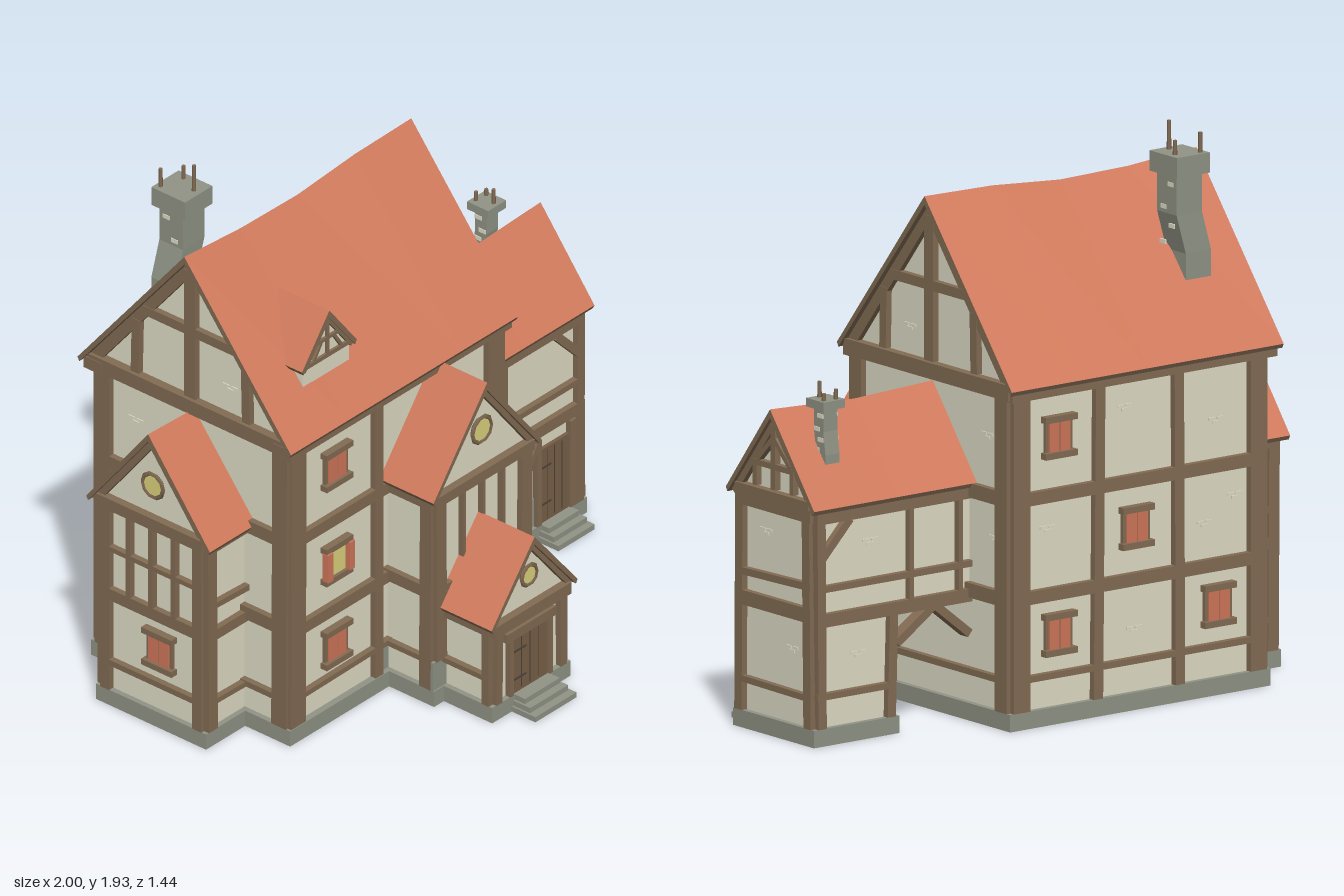
import * as THREE from 'three';

const mat = (name, color) => Object.assign(new THREE.MeshStandardMaterial({ color }), { name });
const M = {
  tile: mat('roof tile', 0xd17a5c), plaster: mat('plaster', 0xdfdcc5), wood: mat('timber', 0x826b53),
  stone: mat('stone', 0x909385), glass: mat('lit glass', 0xdbd27d), shutter: mat('shutter', 0xcf765a),
  door: mat('door wood', 0x776048), iron: mat('iron', 0x4c4138),
};

function add(parent, name, geo, material, x = 0, y = 0, z = 0) {
  const m = new THREE.Mesh(geo, material);
  m.name = name;
  m.position.set(x, y, z);
  parent.add(m);
  return m;
}
// Box from min and max corners
function block(parent, name, material, x0, x1, y0, y1, z0, z1) {
  return add(parent, name, new THREE.BoxGeometry(x1 - x0, y1 - y0, z1 - z0), material,
    (x0 + x1) / 2, (y0 + y1) / 2, (z0 + z1) / 2);
}

// Gable roof lofted along z; the edges and underside are timber
function roofGeometry(hw, eave, ridges, z0, z1, t = 0.03) {
  const rings = ridges.map((r, i) => {
    const z = z0 + (z1 - z0) * i / (ridges.length - 1);
    return [[hw, eave], [0, r], [-hw, eave], [-hw + 0.008, eave - t * 0.5], [0, r - t], [hw - 0.008, eave - t * 0.5]]
      .map(([x, y]) => [x, y, z]);
  });
  const pos = [[], []];
  const quad = (k, a, b, c, d) => pos[k].push(...a, ...b, ...c, ...a, ...c, ...d);
  for (let i = 0; i + 1 < rings.length; i++) {
    const [a, b] = [rings[i], rings[i + 1]];
    for (let j = 0; j < 6; j++) {
      const k = (j + 1) % 6;
      quad(j < 2 ? 0 : 1, a[j], a[k], b[k], b[j]);
    }
  }
  const s = rings[0], e = rings[rings.length - 1];
  quad(1, e[0], e[1], e[4], e[5]); quad(1, e[1], e[2], e[3], e[4]);
  quad(1, s[5], s[4], s[1], s[0]); quad(1, s[4], s[3], s[2], s[1]);
  const g = new THREE.BufferGeometry();
  g.setAttribute('position', new THREE.Float32BufferAttribute([...pos[0], ...pos[1]], 3));
  g.addGroup(0, pos[0].length / 3, 0);
  g.addGroup(pos[0].length / 3, pos[1].length / 3, 1);
  g.computeVertexNormals();
  return g;
}

// Gabled volume with its ridge along local z; a hollow one is open below
function house(root, name, o) {
  const g = new THREE.Group();
  g.name = name;
  g.position.set(o.x || 0, 0, o.z || 0);
  g.rotation.y = o.turn || 0;
  root.add(g);
  const top = o.ridges[0], slope = (top - o.eave) / o.hw, peak = top - 0.045, { w, y0, b0, b1 } = o;
  const side = peak - slope * w, t = 0.03;
  const gable = [[-w, y0], [w, y0], [w, side], [0, peak], [-w, side]];
  const shell = [[-w, y0], [t - w, y0], [t - w, side - t], [0, peak - 2 * t], [w - t, side - t], [w - t, y0], ...gable.slice(1)];
  const walls = (points, from, to) => add(g, name + 'Walls', new THREE.ExtrudeGeometry(
    new THREE.Shape(points.map(p => new THREE.Vector2(...p))), { depth: to - from, bevelEnabled: false }), M.plaster, 0, 0, from);
  if (o.hollow) {
    walls(shell, b0 + t, b1 - t);
    walls(gable, b0, b0 + t);
    walls(gable, b1 - t, b1);
  } else walls(gable, b0, b1);
  add(g, name + 'Roof', roofGeometry(o.hw, o.eave, o.ridges, o.r0, o.r1), [M.tile, M.wood]);
}

// Wall frame: local x runs along the wall, local z points outwards
function facade(root, name, x, z, turn = 0) {
  const g = new THREE.Group();
  g.name = name;
  g.position.set(x, 0, z);
  g.rotation.y = turn;
  root.add(g);
  return g;
}
const RIGHT = Math.PI / 2, BACK = Math.PI, LEFT = -Math.PI / 2;

// Timbers given as [u1, y1, u2, y2, width]
function bars(f, list, flip = 1, depth = 0.045) {
  for (const [u1, y1, u2, y2, w] of list) {
    const du = (u2 - u1) * flip, dy = y2 - y1;
    const m = add(f, 'timber', new THREE.BoxGeometry(w, Math.hypot(du, dy), depth), M.wood,
      flip * (u1 + u2) / 2, (y1 + y2) / 2, 0);
    m.rotation.z = Math.atan2(-du, dy);
  }
}
// Pair of gable timbers tucked under the roof slopes
function rafters(f, c, hw, eave, ridge, w, depth = 0.04) {
  const slope = (ridge - eave) / hw, y = ridge - 0.026 - w / 2 * Math.hypot(1, slope), e = hw - w / 2 - 0.012;
  bars(f, [-1, 1].map(s => [c + s * e, y - slope * e, c, y, w]), 1, depth);
}
function shutterWindow(f, u, y, w = 0.095, h = 0.125, open = false) {
  block(f, 'windowFrame', M.wood, u - w / 2 - 0.01, u + w / 2 + 0.01, y - h / 2, y + h / 2, -0.01, 0.012);
  for (const s of [-1, 1])
    block(f, s < 0 ? 'windowSill' : 'windowLintel', M.wood, u - w / 2 - 0.02, u + w / 2 + 0.02,
      y + s * h / 2 - 0.011, y + s * h / 2 + 0.011, -0.01, 0.028);
  if (open) block(f, 'windowPane', M.glass, u - w / 2 + 0.006, u + w / 2 - 0.006, y - h / 2 + 0.01, y + h / 2 - 0.01, 0.01, 0.016);
  for (const s of [-1, 1]) {
    const c = u + s * (open ? w / 2 + 0.008 : w / 4), k = open ? 0.013 : w / 4 - 0.003;
    block(f, 'shutter', M.shutter, c - k, c + k, y - h / 2 + 0.008, y + h / 2 - 0.008, 0.01, open ? 0.035 : 0.018);
  }
}
function roundWindow(f, u, y, r) {
  add(f, 'roundPane', new THREE.CircleGeometry(r, 10), M.glass, u, y, 0.012);
  add(f, 'roundFrame', new THREE.TorusGeometry(r, 0.009, 4, 10), M.wood, u, y, 0.01);
}
// Raised bricks showing through the plaster
function bricks(f, spots) {
  for (const [u, y] of spots)
    for (const [du, dy] of [[0, 0], [0.036, 0], [0.018, -0.013]])
      block(f, 'brick', M.plaster, u + du - 0.014, u + du + 0.014, y + dy - 0.005, y + dy + 0.005, -0.005, 0.004);
}
function steps(root, x0, x1, z0, z1) {
  for (let i = 0; i < 3; i++)
    block(root, 'step', M.stone, x0 + i * 0.008, x1 - i * 0.008, 0, 0.02 * (i + 1), z0, z1 - i * (z1 - z0) / 4);
}
function plankDoor(f, u, w, h) {
  block(f, 'door', M.door, u - w / 2, u + w / 2, 0.06, 0.06 + h, -0.01, 0.014);
  for (let i = 1; i < 4; i++)
    block(f, 'plankGap', M.iron, u - w / 2 + i * w / 4 - 0.001, u - w / 2 + i * w / 4 + 0.001, 0.07, 0.05 + h, 0.01, 0.0155);
  for (const k of [0.25, 0.75])
    block(f, 'hinge', M.iron, u - w / 2, u - w / 8, 0.057 + h * k, 0.063 + h * k, 0.01, 0.018);
}
// Flared shaft, cap and pots given as [x, z, top]
function chimney(root, name, x, z, w, d, y0, y1, y2, flareX, flareZ, pots) {
  const g = new THREE.Group();
  g.name = name;
  root.add(g);
  const geo = new THREE.BoxGeometry(w, y1 - y0, d, 1, 3, 1).toNonIndexed(), p = geo.attributes.position;
  for (let i = 0; i < p.count; i++) if (p.getY(i) < -0.01 - (y1 - y0) * 0.1) {
    p.setX(i, p.getX(i) + flareX);
    p.setZ(i, p.getZ(i) + flareZ);
  }
  geo.computeVertexNormals();
  add(g, 'chimneyShaft', geo, M.stone, x, (y0 + y1) / 2, z);
  block(g, 'chimneyCap', M.stone, x - w / 2 - 0.016, x + w / 2 + 0.016, y1, y2, z - d / 2 - 0.022, z + d / 2 + 0.022);
  for (const [px, pz, top] of pots)
    add(g, 'chimneyPot', new THREE.CylinderGeometry(0.007, 0.008, top - y2 + 0.01, 6), M.wood, px, (top + y2 - 0.01) / 2, pz);
  for (const [k, h] of [[-0.2, 0.95], [0.15, 0.75], [-0.25, 0.6], [0.2, 0.45]])
    for (const s of [-1, 1])
      block(g, 'paleBrick', M.plaster, x + s * w / 2 - 0.003, x + s * w / 2 + 0.003, y0 + (y1 - y0) * h - 0.02,
        y0 + (y1 - y0) * h - 0.005, z + k * d - 0.015, z + k * d + 0.015);
}

export function createModel() {
  const root = new THREE.Group();
  root.name = 'timberHouse';

  // Volumes and roofs
  house(root, 'mainHouse', { z: -0.245, turn: RIGHT, hollow: true, w: 0.42, y0: 0.04, b0: -0.765, b1: 0.305, hw: 0.475, eave: 1.18,
    ridges: [1.77, 1.748, 1.743, 1.765, 1.77], r0: -0.815, r1: 0.345 });
  house(root, 'leftWing', { z: -0.245, turn: RIGHT, w: 0.225, y0: 0.04, b0: -0.965, b1: -0.74, hw: 0.275, eave: 0.8,
    ridges: [1.155, 1.145], r0: -1, r1: -0.74 });
  house(root, 'rightWing', { z: -0.24, turn: RIGHT, w: 0.2, y0: 0.42, b0: 0.28, b1: 0.965, hw: 0.24, eave: 0.82,
    ridges: [1.13, 1.115, 1.13], r0: 0.28, r1: 1 });
  house(root, 'bay', { x: -0.025, w: 0.235, y0: 0.04, b0: 0.15, b1: 0.38, hw: 0.275, eave: 0.82, ridges: [1.17, 1.17], r0: 0.15, r1: 0.415 });
  house(root, 'porch', { x: -0.03, w: 0.18, y0: 0.04, b0: 0.3, b1: 0.595, hw: 0.22, eave: 0.38, ridges: [0.65, 0.65], r0: 0.35, r1: 0.63 });
  house(root, 'dormer', { x: -0.51, w: 0.118, y0: 1.315, b0: -0.1, b1: 0.12, hw: 0.14, eave: 1.39, ridges: [1.57, 1.57], r0: -0.1, r1: 0.135 });
  block(root, 'gateRoom', M.plaster, 0.64, 0.965, 0.04, 0.43, -0.44, -0.04);

  // Stone footings
  const rect = (S, x0, x1, y0, y1) => new S([[x0, y0], [x1, y0], [x1, y1], [x0, y1]].map(p => new THREE.Vector2(...p)));
  const ring = rect(THREE.Shape, -0.785, 0.325, -0.2, 0.685);
  ring.holes.push(rect(THREE.Path, -0.71, 0.25, -0.12, 0.61));
  add(root, 'mainFooting', new THREE.ExtrudeGeometry(ring, { depth: 0.06, bevelEnabled: false }), M.stone).rotation.x = -Math.PI / 2;
  block(root, 'leftFooting', M.stone, -0.985, -0.75, 0, 0.06, -0.49, 0);
  block(root, 'rightFooting', M.stone, 0.62, 0.985, 0, 0.06, -0.46, -0.02);
  block(root, 'bayFooting', M.stone, -0.28, 0.23, 0, 0.06, 0.15, 0.4);
  block(root, 'porchFooting', M.stone, -0.23, 0.17, 0, 0.06, 0.38, 0.615);
  block(root, 'bayStonework', M.stone, -0.28, 0.23, 0.05, 0.17, 0.37, 0.395);
  block(root, 'gateStonework', M.stone, 0.645, 0.76, 0.05, 0.17, -0.05, -0.034);
  block(root, 'frontStonework', M.stone, -0.31, 0.28, 0.05, 0.17, 0.17, 0.181);
  steps(root, -0.13, 0.08, 0.6, 0.72);
  steps(root, 0.735, 0.92, -0.04, 0.07);

  // Main front and back
  const front = facade(root, 'mainFront', 0, 0.175);
  bars(front, [[-0.74, 0.06, -0.735, 1.16, 0.075], [-0.325, 0.06, -0.325, 1.15, 0.04], [0.275, 0.06, 0.272, 1.16, 0.08],
    [-0.765, 0.785, 0.3, 0.785, 0.045], [-0.765, 0.432, 0.3, 0.432, 0.045], [-0.765, 0.165, -0.25, 0.172, 0.02]]);
  bars(front, [[-0.8, 1.16, 0.33, 1.16, 0.045]], 1, 0.08);
  shutterWindow(front, -0.533, 0.99);
  shutterWindow(front, -0.533, 0.617, 0.095, 0.125, true);
  shutterWindow(front, -0.533, 0.285);
  const back = facade(root, 'mainBack', 0, -0.665, BACK);
  bars(back, [[-0.275, 0.06, -0.275, 1.16, 0.07], [0.05, 0.06, 0.06, 1.16, 0.04], [0.4, 0.06, 0.395, 1.16, 0.04], [0.735, 0.06, 0.735, 1.16, 0.07],
    [-0.3, 0.79, 0.765, 0.79, 0.045], [-0.3, 0.45, 0.765, 0.45, 0.045], [-0.3, 0.17, 0.765, 0.17, 0.022]]);
  bars(back, [[-0.33, 1.16, 0.8, 1.16, 0.045]], 1, 0.08);
  for (const [u, y] of [[-0.11, 0.99], [0.22, 0.63], [-0.11, 0.31], [0.57, 0.31]]) shutterWindow(back, u, y);
  bricks(back, [[0.16, 1.05], [0.55, 0.95], [-0.17, 0.68], [0.5, 0.6], [0.2, 0.28], [0.63, 0.68]]);

  // Main side walls and gables
  for (const [name, x, turn, flip] of [['mainRight', 0.305, RIGHT, 1], ['mainLeft', -0.765, LEFT, -1]]) {
    const f = facade(root, name, x, 0, turn);
    bars(f, [[-0.15, 0.06, -0.155, 1.17, 0.065], [0.635, 0.06, 0.635, 1.17, 0.065], [-0.17, 0.795, 0.66, 0.795, 0.05],
      [-0.17, 0.45, 0.66, 0.45, 0.05], [-0.17, 0.17, 0.66, 0.17, 0.022], [0.035, 1.462, 0.455, 1.462, 0.035],
      [0.245, 1.2, 0.245, 1.7, 0.05], [-0.005, 1.2, 0, 1.41, 0.035], [0.49, 1.2, 0.485, 1.41, 0.035]], flip);
    rafters(f, flip * 0.245, 0.475, 1.18, 1.77, 0.04);
    bars(f, [[-0.2, 1.17, 0.69, 1.17, 0.055]], flip, 0.065);
    bricks(f, [[flip * 0.1, 1.3], [flip * 0.52, 1.0], [flip * 0.56, 0.65]]);
  }

  // Bay front and sides
  const bay = facade(root, 'bayFront', -0.025, 0.38);
  bars(bay, [[-0.215, 0.17, -0.22, 0.8, 0.05], [0.215, 0.17, 0.22, 0.8, 0.05], [-0.23, 0.435, 0.23, 0.435, 0.045],
    [-0.1, 0.45, -0.1, 0.78, 0.013], [0, 0.45, 0, 0.78, 0.013], [0.1, 0.45, 0.1, 0.78, 0.013]]);
  rafters(bay, 0, 0.275, 0.82, 1.17, 0.02);
  bars(bay, [[-0.25, 0.805, 0.25, 0.805, 0.04]], 1, 0.06);
  roundWindow(bay, 0, 0.975, 0.048);
  const porch = facade(root, 'porchFront', -0.03, 0.595);
  bars(porch, [[-0.165, 0.06, -0.16, 0.36, 0.03], [0.165, 0.06, 0.16, 0.36, 0.03],
    [-0.125, 0.296, 0.125, 0.296, 0.035], [-0.1, 0.06, -0.1, 0.28, 0.018], [0.1, 0.06, 0.1, 0.28, 0.018]]);
  rafters(porch, 0, 0.22, 0.38, 0.65, 0.018);
  bars(porch, [[-0.195, 0.355, 0.195, 0.355, 0.045]], 1, 0.06);
  roundWindow(porch, 0, 0.49, 0.038);
  plankDoor(porch, 0, 0.175, 0.22);
  for (const [side, turn, flip, xb, xp] of [['Right', RIGHT, 1, 0.21, 0.15], ['Left', LEFT, -1, -0.26, -0.21]]) {
    bars(facade(root, 'bay' + side, xb, 0, turn), [[-0.36, 0.06, -0.365, 0.81, 0.05], [-0.385, 0.795, -0.17, 0.795, 0.05],
      [-0.385, 0.44, -0.17, 0.44, 0.045], [-0.385, 0.17, -0.17, 0.17, 0.02]], flip);
    bars(facade(root, 'porch' + side, xp, 0, turn), [[-0.585, 0.06, -0.585, 0.36, 0.03], [-0.6, 0.355, -0.38, 0.355, 0.04],
      [-0.6, 0.165, -0.38, 0.165, 0.02]], flip);
  }

  // Left wing
  for (const [name, z, turn, flip] of [['leftWingFront', -0.02, 0, 1], ['leftWingBack', -0.47, BACK, -1]]) {
    const f = facade(root, name, 0, z, turn);
    bars(f, [[-0.95, 0.06, -0.955, 0.79, 0.045], [-0.97, 0.78, -0.76, 0.78, 0.04], [-0.97, 0.55, -0.76, 0.54, 0.022],
      [-0.97, 0.432, -0.76, 0.432, 0.04], [-0.97, 0.17, -0.76, 0.165, 0.02]], flip);
  }
  const leftEnd = facade(root, 'leftWingEnd', -0.965, -0.245, LEFT);
  bars(leftEnd, [[-0.205, 0.06, -0.205, 0.8, 0.04], [0.205, 0.06, 0.205, 0.8, 0.04], [-0.22, 0.44, 0.22, 0.44, 0.045], [-0.22, 0.17, 0.22, 0.17, 0.022],
    ...[-0.1, 0, 0.1].map(u => [u, 0.45, u, 0.8, 0.02]), [-0.22, 0.62, 0.22, 0.62, 0.018]]);
  rafters(leftEnd, 0, 0.275, 0.8, 1.155, 0.025);
  bars(leftEnd, [[-0.235, 0.8, 0.235, 0.8, 0.045]], 1, 0.06);
  roundWindow(leftEnd, 0, 0.94, 0.045);
  shutterWindow(leftEnd, 0.03, 0.3);

  // Right wing with open gateway
  for (const [name, z, turn, flip] of [['rightWingFront', -0.04, 0, 1], ['rightWingBack', -0.44, BACK, -1]]) {
    const f = facade(root, name, 0, z, turn);
    bars(f, [[0.95, 0.06, 0.955, 0.81, 0.035], [0.31, 0.79, 0.97, 0.79, 0.05], [0.31, 0.54, 0.97, 0.54, 0.022], [0.31, 0.432, 0.97, 0.432, 0.045],
      [0.36, 0.45, 0.36, 0.78, 0.018], [0.57, 0.45, 0.57, 0.78, 0.018], [0.83, 0.77, 0.955, 0.64, 0.03],
      [0.32, 0.3, 0.47, 0.42, 0.03], [0.47, 0.42, 0.63, 0.31, 0.03], [0.655, 0.06, 0.645, 0.42, 0.035]], flip);
    if (flip > 0) {
      shutterWindow(f, 0.465, 0.65, 0.075, 0.105);
      bars(f, [[0.74, 0.06, 0.74, 0.4, 0.022], [0.915, 0.06, 0.915, 0.4, 0.03], [0.67, 0.28, 0.74, 0.39, 0.02]]);
      plankDoor(f, 0.825, 0.15, 0.29);
    } else {
      bars(f, [[0.64, 0.17, 0.97, 0.17, 0.022]], -1);
      bricks(f, [[-0.75, 0.68], [-0.8, 0.3]]);
    }
  }
  const end = facade(root, 'rightWingEnd', 0.965, -0.24, RIGHT);
  bars(end, [[-0.19, 0.06, -0.185, 0.82, 0.04], [0.185, 0.06, 0.175, 0.82, 0.04], [-0.2, 0.795, 0.2, 0.795, 0.05], [-0.2, 0.54, 0.2, 0.55, 0.025],
    [-0.2, 0.45, 0.2, 0.45, 0.05], [-0.2, 0.17, 0.2, 0.165, 0.022], [-0.11, 0.93, 0.11, 0.93, 0.02], [0, 0.85, 0, 1.07, 0.025],
    [-0.1, 0.85, -0.1, 0.94, 0.02], [0.1, 0.85, 0.1, 0.94, 0.02], [-0.09, 0.94, 0, 1.03, 0.018], [0.09, 0.94, 0, 1.03, 0.018]]);
  rafters(end, 0, 0.24, 0.82, 1.13, 0.025);
  bars(end, [[-0.2, 0.83, 0.2, 0.83, 0.03]], 1, 0.06);
  bricks(end, [[-0.08, 0.7], [0.06, 0.32]]);
  for (let i = 0; i < 4; i++) block(root, 'joist', M.wood, 0.33 + i * 0.09, 0.355 + i * 0.09, 0.4, 0.43, -0.43, -0.05);

  // Dormer front
  const dormer = facade(root, 'dormerFront', -0.51, 0.12);
  bars(dormer, [[-0.12, 1.392, 0.12, 1.392, 0.016], [-0.055, 1.46, 0.055, 1.46, 0.012], [0, 1.4, 0, 1.52, 0.012],
    [-0.07, 1.4, -0.03, 1.46, 0.012], [0.07, 1.4, 0.03, 1.46, 0.012]], 1, 0.02);
  rafters(dormer, 0, 0.14, 1.39, 1.57, 0.013, 0.02);

  // Chimneys
  chimney(root, 'mainChimney', -0.563, -0.475, 0.108, 0.106, 1.36, 1.765, 1.835, -0.035, -0.005,
    [[-0.608, -0.53, 1.905], [-0.555, -0.428, 1.935], [-0.52, -0.505, 1.885]]);
  chimney(root, 'wingChimney', 0.845, -0.345, 0.06, 0.05, 0.9, 1.135, 1.165, 0, -0.012,
    [[0.825, -0.375, 1.2], [0.85, -0.318, 1.22], [0.872, -0.37, 1.19]]);
  return root;
}
